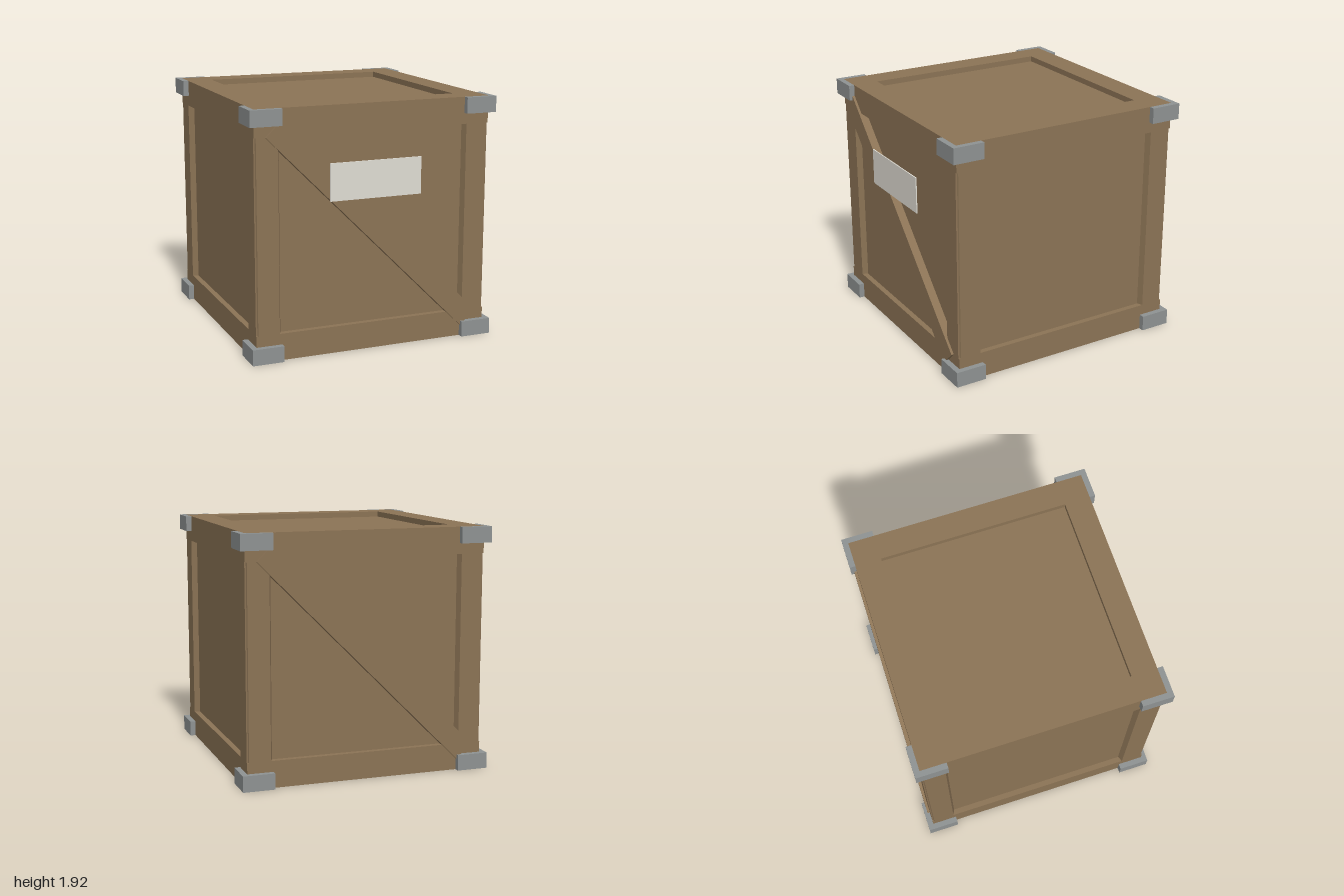
import * as THREE from 'three';

const H = 1.92;      // crate height
const R = 0.955;     // frame half width
const C = 0.91;      // recessed panel half width
const IN = 0.75;     // half width of the panel openings

function material(name, color) {
  const m = new THREE.MeshStandardMaterial({ color });
  m.name = name;
  return m;
}

function shapeOf(points) {
  return new THREE.Shape(points.map(([x, y]) => new THREE.Vector2(x, y)));
}

// Extrude a plan outline (x, -z) upwards from y0 to y1
function upright(shape, y0, y1) {
  const g = new THREE.ExtrudeGeometry(shape, { depth: y1 - y0, bevelEnabled: false });
  g.rotateX(-Math.PI / 2);
  g.translate(0, y0, 0);
  return g;
}

export function createModel() {
  const wood = material('wood', 0x8b7355);
  const metal = material('metal', 0x8e9292);
  const paper = material('paper', 0xdfdcd3);
  const crate = new THREE.Group();
  crate.name = 'crate';

  function add(name, geometry, mat, parent = crate) {
    const mesh = new THREE.Mesh(geometry, mat);
    mesh.name = name;
    parent.add(mesh);
    return mesh;
  }

  // Recessed panels on all six sides
  const depth = R - C;
  add('panels', new THREE.BoxGeometry(2 * C, H - 2 * depth, 2 * C), wood).position.y = H / 2;

  // Square frames around the bottom and top
  const square = (s) => [[-s, -s], [s, -s], [s, s], [-s, s]];
  const ring = shapeOf(square(R));
  ring.holes.push(new THREE.Path(square(IN).reverse().map(([x, y]) => new THREE.Vector2(x, y))));
  add('bottomFrame', upright(ring, 0, 0.21), wood);
  add('topFrame', upright(ring, 1.71, H), wood);

  // Corner posts with bevelled edges and a notch along the corner
  const post = upright(shapeOf([
    [IN, IN], [C, IN], [R, 0.77], [R, 0.94], [0.945, 0.945], [0.94, R], [0.77, R], [IN, C],
  ]), 0.21, 1.71);

  // L-shaped metal corner brackets
  const bracketShape = shapeOf([[1, IN], [1, 1], [IN, 1], [IN, R], [R, R], [R, IN]]);
  const lowBracket = upright(bracketShape, 0, 0.125);
  const highBracket = upright(bracketShape, 1.795, H);

  for (let i = 0; i < 4; i++) {
    const corner = new THREE.Group();
    corner.name = 'corner' + (i + 1);
    corner.rotation.y = i * Math.PI / 2;
    add('post', post, wood, corner);
    add('bottomBracket', lowBracket, metal, corner);
    add('topBracket', highBracket, metal, corner);
    crate.add(corner);
  }

  // Diagonal braces on the front and back
  for (const [name, turn] of [['frontBrace', 0], ['backBrace', Math.PI]]) {
    const side = new THREE.Group();
    side.name = name;
    side.rotation.y = turn;
    const brace = add('braceBoard', new THREE.BoxGeometry(2.29, 0.17, 0.07), wood, side);
    brace.position.set(0, H / 2, 0.94);
    brace.rotation.z = -Math.PI / 4;
    crate.add(side);
  }

  // Blank label on the front
  add('label', new THREE.BoxGeometry(0.745, 0.29, 0.009), paper).position.set(0, 1.345, 0.982);

  return crate;
}
